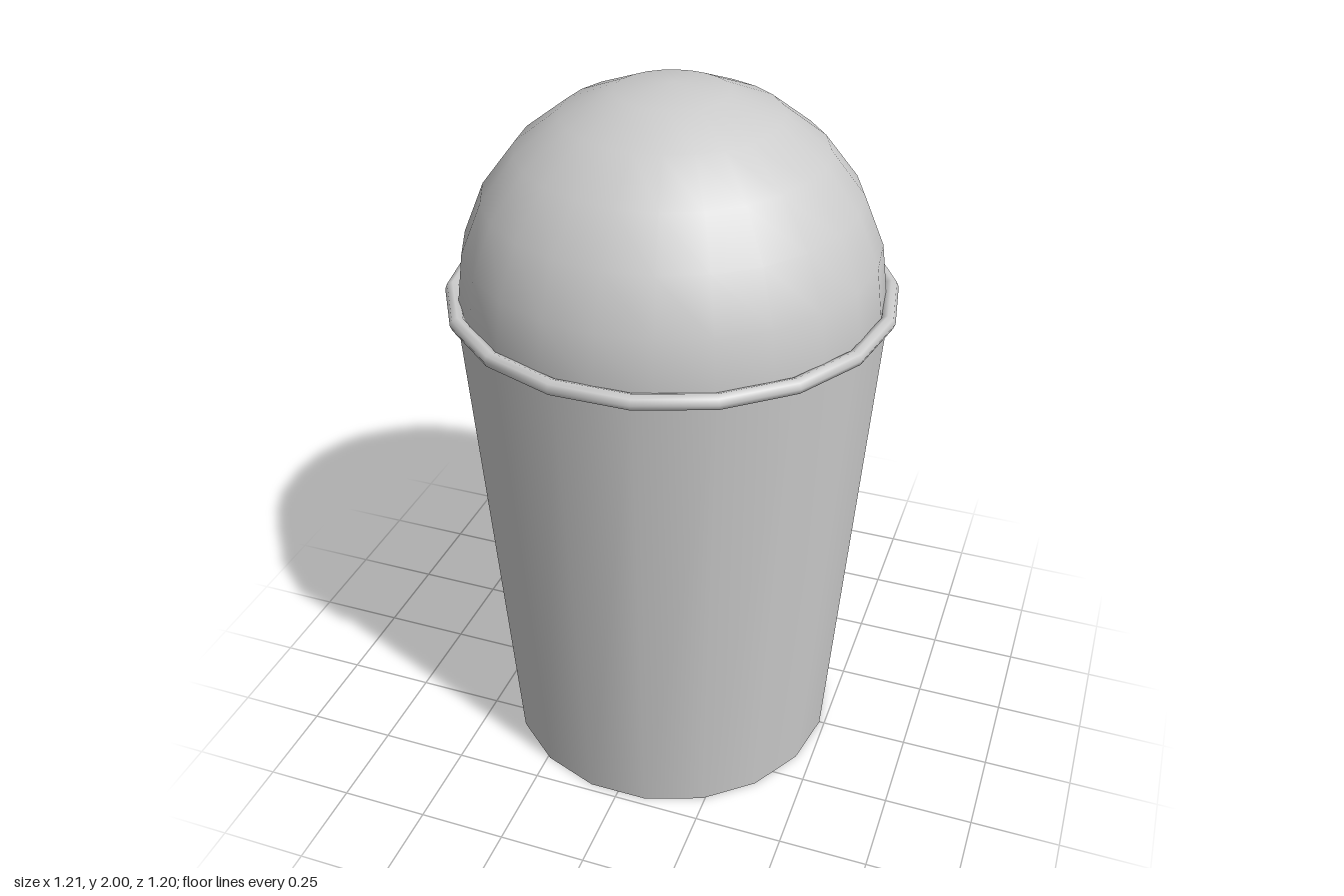
import * as THREE from 'three';

const SIDES = 18;
const RIM_Y = 1.43;

export function createModel() {
  const group = new THREE.Group();
  const material = new THREE.MeshStandardMaterial({ color: 0xcccccc });

  const add = (name, geometry, y) => {
    const mesh = new THREE.Mesh(geometry, material);
    mesh.name = name;
    mesh.position.y = y;
    group.add(mesh);
  };

  // Tapered bin body, turned so a corner points along x
  const body = new THREE.CylinderGeometry(0.585, 0.485, RIM_Y, SIDES);
  body.rotateY(Math.PI / 2);
  add('body', body, RIM_Y / 2);

  // Rolled rim around the mouth
  const rim = new THREE.TorusGeometry(0.586, 0.021, 8, SIDES);
  rim.rotateX(Math.PI / 2);
  add('rim', rim, RIM_Y);

  // Half-sphere lid
  const lid = new THREE.SphereGeometry(0.57, 24, 6, 0, Math.PI * 2, 0, Math.PI / 2);
  add('domeLid', lid, RIM_Y);

  return group;
}
